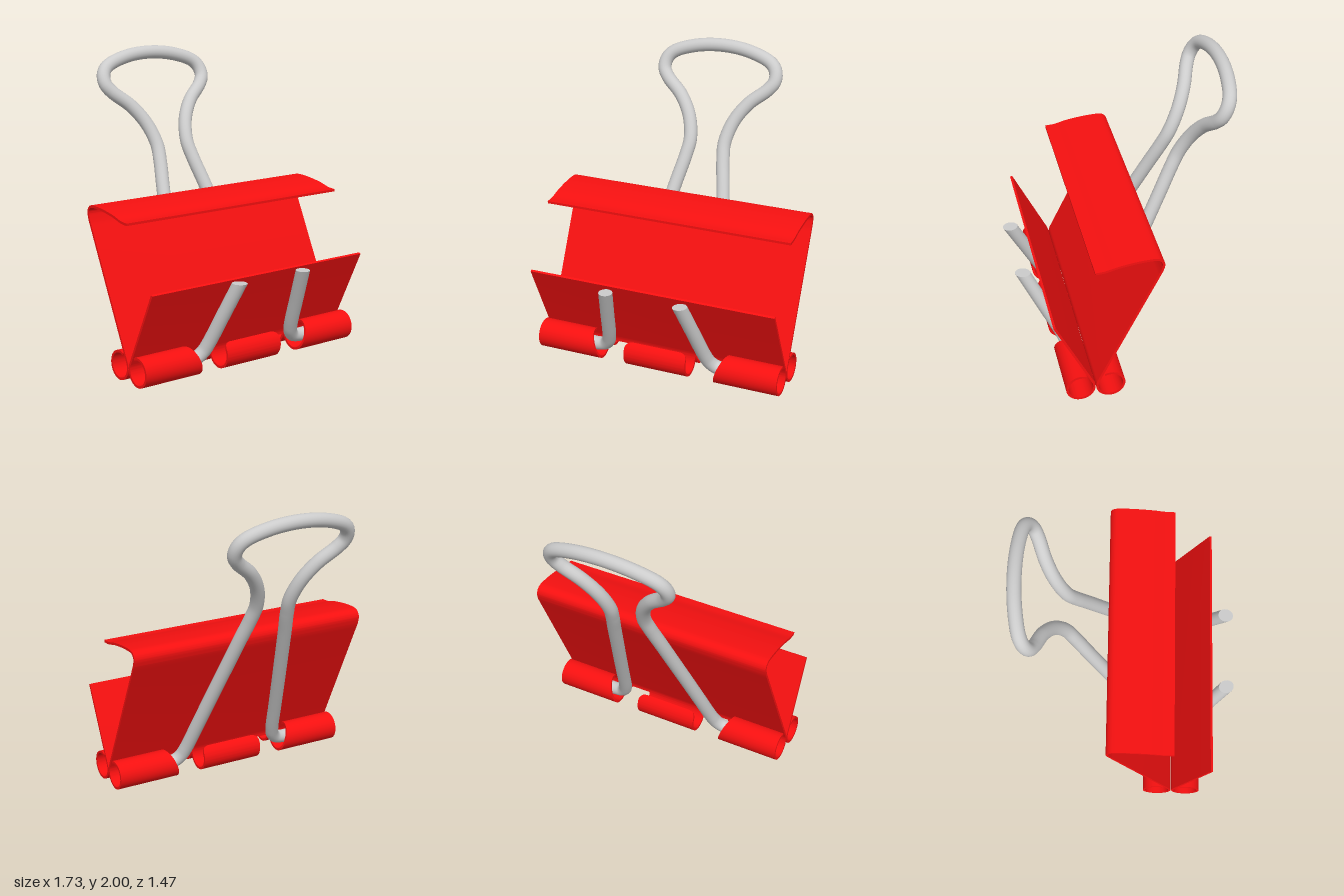
import * as THREE from 'three';
import { toCreasedNormals } from 'three/addons/utils/BufferGeometryUtils.js';

const red = new THREE.MeshStandardMaterial({ color: 0xf51010 });
const steel = new THREE.MeshStandardMaterial({ color: 0xcccccc });
const steelCap = new THREE.MeshStandardMaterial({ color: 0xcccccc, side: THREE.DoubleSide });

const MID = 0.32;        // z where the two jaws meet
const CURL = 0.1;        // curl centre: height, and distance from MID
const R = 0.09;          // curl radius
const HALF = 0.008;      // half the sheet thickness
const SLOPE = 0.485;     // lean of the jaws
const WIRE = 0.046;
const CUT = 0.64;        // height where the front jaw and handle end
const rad = THREE.MathUtils.degToRad;

// Thick strip following a (z, y) profile; edges(t) gives its left and right x
function strip(name, profile, edges) {
  const n = profile.length;
  const rings = profile.map((p, i) => {
    const a = profile[Math.max(i - 1, 0)], b = profile[Math.min(i + 1, n - 1)];
    const t = b.clone().sub(a).normalize();
    const nz = -t.y * HALF, ny = t.x * HALF;
    const [x0, x1] = edges(i / (n - 1));
    return [
      [x0, p.y + ny, p.x + nz], [x1, p.y + ny, p.x + nz],
      [x1, p.y - ny, p.x - nz], [x0, p.y - ny, p.x - nz],
    ];
  });
  const pos = [];
  const quad = (a, b, c, d) => pos.push(...a, ...b, ...c, ...a, ...c, ...d);
  for (let i = 0; i < n - 1; i++) {
    const P = rings[i], Q = rings[i + 1];
    for (let j = 0; j < 4; j++) {
      const k = (j + 1) % 4;
      quad(P[j], Q[j], Q[k], P[k]);
    }
  }
  quad(...rings[0]);
  quad(...rings[n - 1].slice().reverse());
  const g = new THREE.BufferGeometry();
  g.setAttribute('position', new THREE.Float32BufferAttribute(pos, 3));
  const mesh = new THREE.Mesh(toCreasedNormals(g, 0.6), red);
  mesh.name = name;
  return mesh;
}

// Arc of the curl; angle 0 points to the other jaw, negative runs underneath
function curlArc(s, from, to, steps) {
  return Array.from({ length: steps + 1 }, (_, i) => {
    const a = rad(from + (to - from) * i / steps);
    return new THREE.Vector2(MID + s * (CURL - R * Math.cos(a)), CURL + R * Math.sin(a));
  });
}

// One jaw: s = -1 back, s = 1 front
function jaw(s) {
  const g = new THREE.Group();
  g.name = s < 0 ? 'backJaw' : 'frontJaw';
  const body = curlArc(s, -3, 26, 6);
  const foot = body[body.length - 1];
  const lean = (y) => new THREE.Vector2(foot.x + s * SLOPE * (y - foot.y), y);
  if (s > 0) {
    body.push(lean(CUT));
  } else {
    // rounded shoulder and overhanging lip
    const lip = [[-0.121, 1.035], [-0.105, 1.068], [-0.065, 1.081], [0.04, 1.077],
      [0.16, 1.06], [0.25, 1.038], [0.317, 1.033]].map(([z, y]) => new THREE.Vector2(z, y));
    body.push(lean(0.95), ...new THREE.SplineCurve([lean(0.99), ...lip]).getPoints(56));
  }
  g.add(strip('jawPlate', body, () => [-0.865, 0.865]));

  // outer curls with slanted inner ends
  const slant = (t) => 0.415 + 0.07 * THREE.MathUtils.smoothstep(t, 0.4, 1);
  const outer = curlArc(s, -3, -295, 48);
  g.add(strip('leftCurl', outer, (t) => [slant(t), 0.865]));
  g.add(strip('rightCurl', outer, (t) => [-0.865, -slant(t)]));

  // centre tab with rounded corners
  const arc = rad(238) * R, corner = 0.05;
  g.add(strip('centreTab', curlArc(s, -3, -241, 56), (t) => {
    const d = Math.max(0, corner - (1 - t) * arc);
    const w = 0.223 - corner + Math.sqrt(corner * corner - d * d);
    return [-w, w];
  }));
  return g;
}

// Wire through (x, y) points lying in the leaning plane of side s, with closed ends
function wire(name, pts, s, segments, trim) {
  const g = new THREE.Group();
  g.name = name;
  const path = new THREE.CatmullRomCurve3(pts.map(([x, y]) =>
    new THREE.Vector3(x, y, MID + s * (CURL + 0.49 * (y - CURL)))));
  const sides = 20;
  const geo = new THREE.TubeGeometry(path, segments, WIRE, sides);
  const p = geo.attributes.position;
  if (trim) {
    // slide everything above the cut back along the leg
    for (let i = 0; i < p.count; i++) {
      const over = p.getY(i) - CUT;
      if (over > 0) {
        p.setXYZ(i, p.getX(i) + Math.sign(pts[0][0]) * 0.195 * over, CUT, p.getZ(i) - s * 0.49 * over);
      }
    }
  }
  const tube = new THREE.Mesh(geo, steel);
  tube.name = 'wire';
  g.add(tube);
  for (const ring of [0, segments]) {
    const verts = [], index = [];
    for (let j = 0; j < sides; j++) {
      const k = ring * (sides + 1) + j;
      verts.push(p.getX(k), p.getY(k), p.getZ(k));
      if (j > 1) index.push(0, j - 1, j);
    }
    const cap = new THREE.BufferGeometry();
    cap.setAttribute('position', new THREE.Float32BufferAttribute(verts, 3));
    cap.setIndex(index);
    cap.computeVertexNormals();
    const m = new THREE.Mesh(cap, steelCap);
    m.name = 'wireEnd';
    g.add(m);
  }
  return g;
}

export function createModel() {
  const model = new THREE.Group();
  model.name = 'binderClip';
  model.add(jaw(-1), jaw(1));

  // pivot, bend and straight leg shared by both handles
  const leg = [[0.6, 0.1], [0.52, 0.1], [0.45, 0.1], [0.4, 0.115], [0.365, 0.155], [0.345, 0.215], [0.305, 0.42]];
  const mirror = (pts) => pts.map(([x, y]) => [-x, y]);

  // full back handle with its flared loop
  const half = [...leg, [0.262, 0.64], [0.216, 0.87], [0.17, 1.1], [0.138, 1.25], [0.126, 1.36], [0.165, 1.5],
    [0.25, 1.62], [0.365, 1.715], [0.405, 1.77], [0.402, 1.83], [0.36, 1.88], [0.2, 1.935]];
  model.add(wire('backHandle', [...half, [0, 1.955], ...mirror(half).reverse()], -1, 240, false));

  // front handle legs, cut level with the front jaw
  const stub = [...leg, [0.262, 0.64], [0.2425, 0.74]];
  model.add(wire('frontHandleLeft', stub, 1, 60, true));
  model.add(wire('frontHandleRight', mirror(stub), 1, 60, true));
  return model;
}
